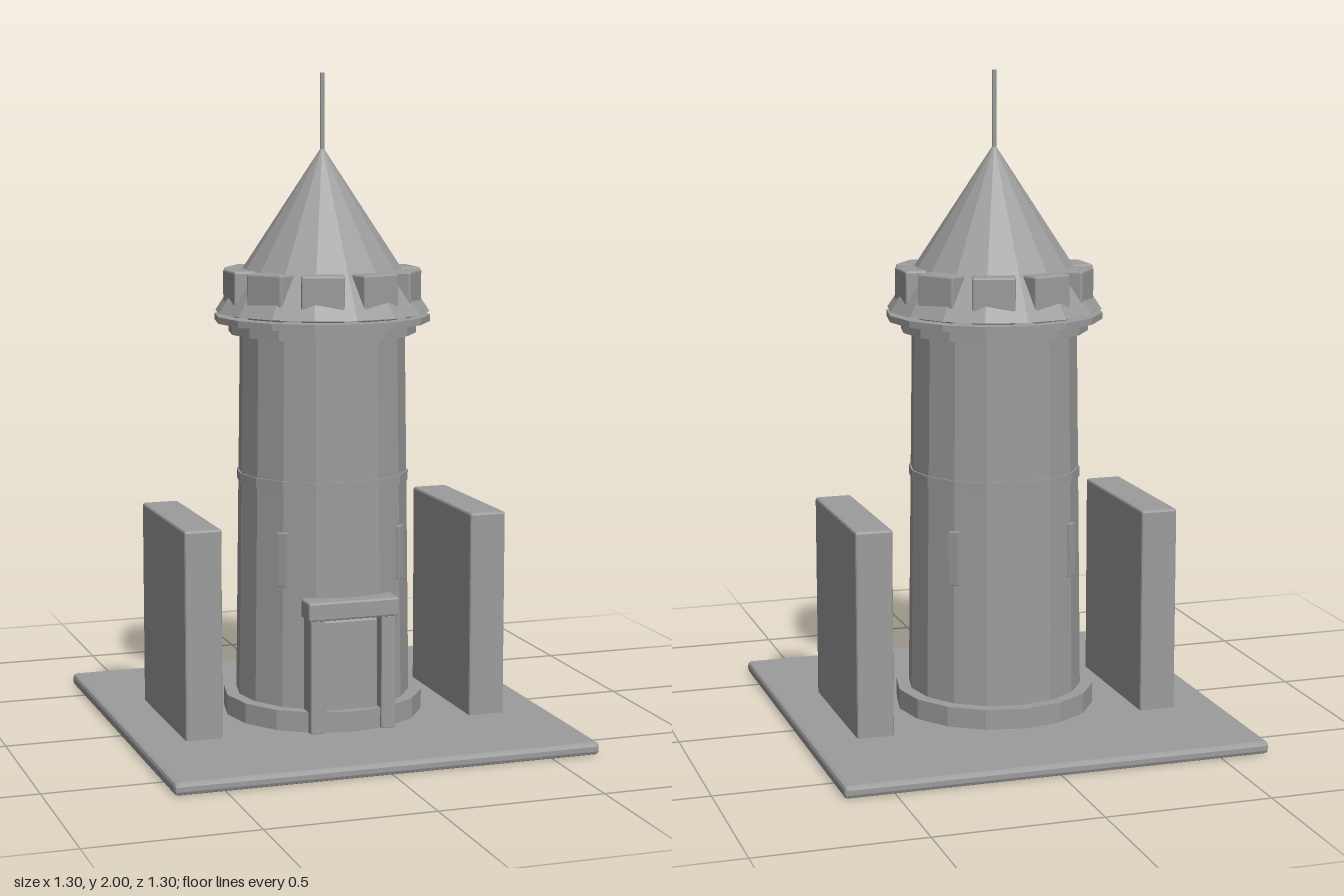
import * as THREE from 'three';
import { RoundedBoxGeometry } from 'three/addons/geometries/RoundedBoxGeometry.js';

const SIDES = 16;

export function createModel() {
  const tower = new THREE.Group();
  tower.name = 'tower';
  const stone = new THREE.MeshStandardMaterial({ color: 0x9c9c9c, flatShading: true });
  stone.name = 'grey stone';

  const add = (name, geometry, parent = tower) => {
    const mesh = new THREE.Mesh(geometry, stone);
    mesh.name = name;
    parent.add(mesh);
    return mesh;
  };

  // Faceted drum between two heights
  const drum = (name, y0, y1, rBottom, rTop = rBottom, sides = SIDES) => {
    const mesh = add(name, new THREE.CylinderGeometry(rTop, rBottom, y1 - y0, sides));
    mesh.position.y = (y0 + y1) / 2;
    return mesh;
  };

  // Block with softened edges, given by its extents
  const block = (name, [x0, x1], [y0, y1], [z0, z1], bevel = 0.006, parent = tower) => {
    const mesh = add(name, new RoundedBoxGeometry(x1 - x0, y1 - y0, z1 - z0, 1, bevel), parent);
    mesh.position.set((x0 + x1) / 2, (y0 + y1) / 2, (z0 + z1) / 2);
    return mesh;
  };

  // Ground slab
  block('groundSlab', [-0.65, 0.65], [0, 0.038], [-0.65, 0.65], 0.012);

  // Tower shaft with its rings
  drum('plinth', 0.03, 0.1, 0.308);
  drum('shaft', 0.03, 1.29, 0.27, 0.252);
  drum('middleBand', 0.76, 0.79, 0.264);
  drum('corbelRing', 1.215, 1.25, 0.287);
  drum('parapetRing', 1.25, 1.27, 0.33);

  // Pointed roof and spire
  drum('roof', 1.28, 1.78, 0.328, 0);
  drum('spire', 1.74, 2, 0.007, 0.007, 8);

  // Ten battlement blocks around the roof edge
  for (let i = 0; i < 10; i++) {
    const pivot = new THREE.Group();
    pivot.name = 'battlement';
    pivot.rotation.y = (i / 10) * Math.PI * 2;
    tower.add(pivot);
    block('merlon', [0.225, 0.297], [1.272, 1.41], [-0.064, 0.064], 0.006, pivot);
  }

  // Narrow slit windows on the four diagonals
  for (let i = 0; i < 4; i++) {
    const pivot = new THREE.Group();
    pivot.name = 'slitWindow';
    pivot.rotation.y = Math.PI / 4 + (i * Math.PI) / 2;
    tower.add(pivot);
    block('slit', [-0.017, 0.017], [0.47, 0.635], [0.255, 0.27], 0.002, pivot);
  }

  // Doorway
  block('door', [-0.085, 0.085], [0.035, 0.375], [0.23, 0.275]);
  block('lintel', [-0.143, 0.143], [0.383, 0.44], [0.225, 0.307]);

  // Door jambs and free-standing side walls
  for (const s of [-1, 1]) {
    const span = (a, b) => (s > 0 ? [a, b] : [-b, -a]);
    block('doorJamb', span(0.088, 0.135), [0.035, 0.387], [0.225, 0.3], 0.005);
    block('sideWall', span(0.394, 0.508), [0.03, 0.67], [-0.25, 0.25], 0.007);
  }

  return tower;
}
